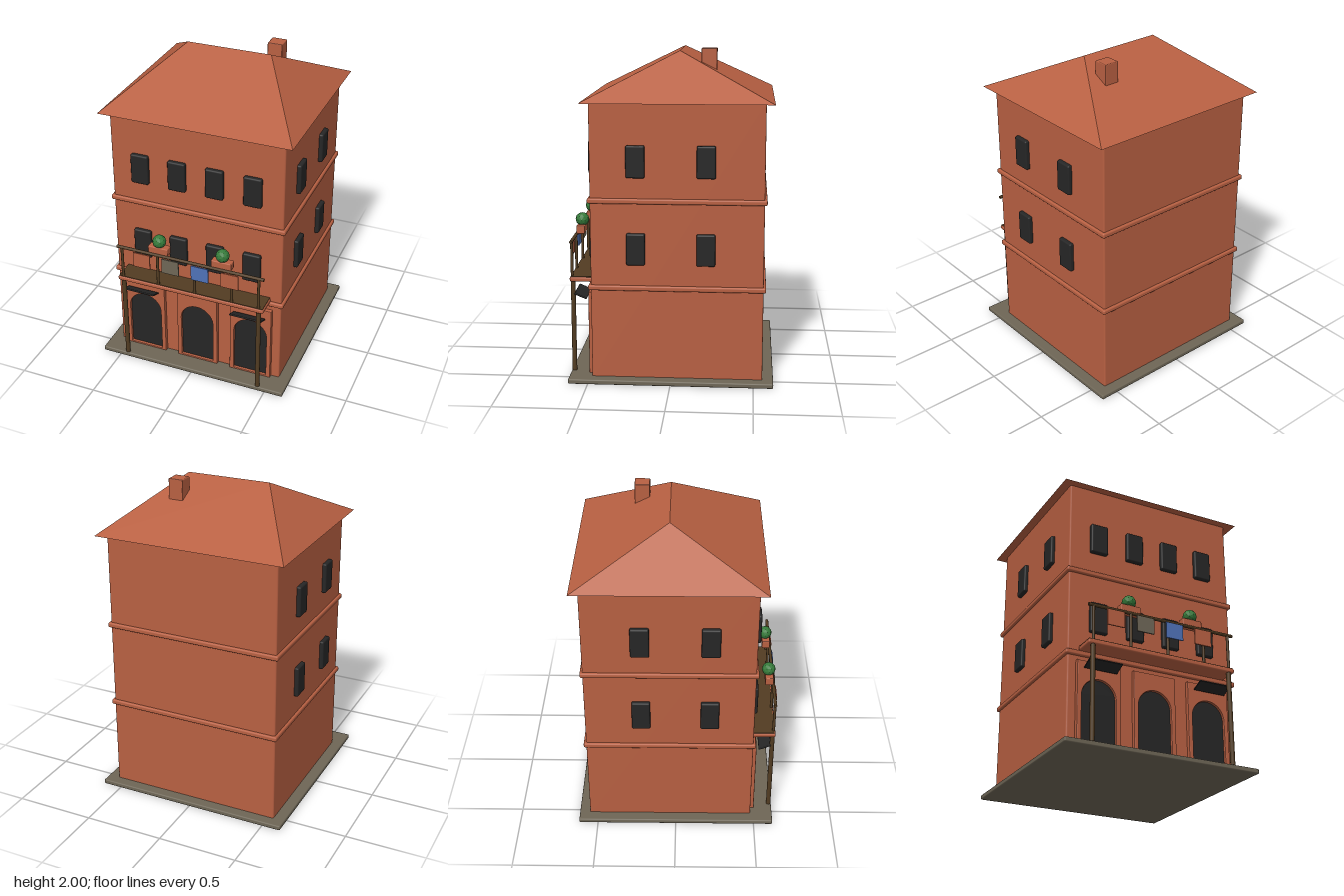
import * as THREE from 'three';
import { RoundedBoxGeometry } from 'three/addons/geometries/RoundedBoxGeometry.js';

const mat = (name, color, extra = {}) => {
  const m = new THREE.MeshStandardMaterial({ color, ...extra });
  m.name = name;
  return m;
};

export function createModel() {
  const terracotta = mat('terracotta', 0xb86042);
  const stone = mat('stone', 0x6e6656);
  const wood = mat('darkWood', 0x523c22);
  const dark = mat('darkGlass', 0x262626);
  const blue = mat('blueCloth', 0x4f72b8);
  const green = mat('leaves', 0x357a3a, { flatShading: true });

  const model = new THREE.Group();
  model.name = 'townhouse';

  const add = (name, geometry, material, x = 0, y = 0, z = 0) => {
    const mesh = new THREE.Mesh(geometry, material);
    mesh.name = name;
    mesh.position.set(x, y, z);
    model.add(mesh);
    return mesh;
  };
  // Softly rounded box given its size and centre
  const block = (name, material, [w, h, d], [x, y, z], r = 0.006) =>
    add(name, new RoundedBoxGeometry(w, h, d, 2, r), material, x, y, z);
  const pole = (name, r, length, x, y, z) =>
    add(name, new THREE.CylinderGeometry(r, r, length, 12), wood, x, y, z);

  const midZ = -0.037, frontZ = 0.48;

  // Plinth, walls and string courses
  block('plinth', stone, [1.24, 0.03, 1.24], [0, 0.015, 0], 0.008);
  block('walls', terracotta, [1.1, 1.69, 1.034], [0, 0.865, midZ], 0.01);
  for (const y of [0.591, 1.121])
    block('stringCourse', terracotta, [1.13, 0.032, 1.064], [0, y, midZ], 0.01);

  // Hipped roof: a box whose top is drawn in to a ridge
  const roof = new THREE.BoxGeometry(1.21, 0.285, 1.136);
  const p = roof.attributes.position;
  for (let i = 0; i < p.count; i++)
    if (p.getY(i) > 0) p.setXYZ(i, Math.sign(p.getX(i)) * 0.267, p.getY(i), 0);
  roof.computeVertexNormals();
  add('roof', roof, terracotta, 0, 1.8425, midZ);
  block('chimney', terracotta, [0.093, 0.22, 0.093], [0.242, 1.89, -0.213], 0.005);

  // Windows on the front and both sides of the upper floors
  for (const y of [0.832, 1.358]) {
    for (const x of [-0.36, -0.12, 0.12, 0.36])
      block('frontWindow', dark, [0.112, 0.192, 0.045], [x, y, 0.483], 0.01);
    for (const side of [-1, 1])
      for (const z of [0.207, -0.21])
        block('sideWindow', dark, [0.045, 0.192, 0.112], [side * 0.553, y, z], 0.01);
  }

  // Arched outline used for the doors and their openings
  const arch = (Type, r) => {
    const s = new Type();
    s.moveTo(-r, 0.03);
    s.lineTo(r, 0.03);
    s.lineTo(r, 0.333);
    s.absarc(0, 0.333, r, 0, Math.PI, false);
    s.lineTo(-r, 0.03);
    return s;
  };
  const surround = new THREE.Shape();
  surround.moveTo(-0.132, 0.032);
  surround.lineTo(0.132, 0.032);
  surround.lineTo(0.132, 0.539);
  surround.lineTo(-0.132, 0.539);
  surround.closePath();
  const opening = arch(THREE.Path, 0.112);
  opening.curves[0].v1.y = 0.033;
  surround.holes.push(arch(THREE.Path, 0.113));
  // Keep the opening just above the lower edge of the panel
  surround.holes[0] = (() => {
    const h = new THREE.Path();
    h.moveTo(-0.113, 0.036);
    h.lineTo(0.113, 0.036);
    h.lineTo(0.113, 0.333);
    h.absarc(0, 0.333, 0.113, 0, Math.PI, false);
    h.lineTo(-0.113, 0.036);
    return h;
  })();
  const surroundGeo = new THREE.ExtrudeGeometry(surround, {
    depth: 0.02, bevelThickness: 0.005, bevelSize: 0.005, bevelSegments: 2, curveSegments: 16,
  });
  const doorGeo = new THREE.ShapeGeometry(arch(THREE.Shape, 0.113), 16);
  for (const x of [-0.36, 0, 0.36]) {
    add('doorSurround', surroundGeo, terracotta, x, 0, frontZ);
    add('archedDoor', doorGeo, dark, x, 0, frontZ + 0.008);
  }

  // Tilted canopies over the outer doors
  for (const x of [-0.36, 0.36])
    block('canopy', dark, [0.21, 0.01, 0.082], [x, 0.508, 0.558], 0.004).rotation.x = -0.4;

  // Balcony with its deck, supports and railing
  block('balconySlab', terracotta, [0.966, 0.03, 0.14], [0, 0.618, 0.55], 0.01);
  add('balconyDeck', new THREE.BoxGeometry(0.955, 0.006, 0.13), wood, 0, 0.633, 0.548);
  for (const x of [-0.45, 0.45]) pole('balconyPost', 0.0145, 0.575, x, 0.317, 0.603);
  for (const x of [-0.45, -0.21, 0.034, 0.277, 0.45]) pole('baluster', 0.009, 0.215, x, 0.742, 0.608);
  pole('handrail', 0.01, 0.966, 0, 0.849, 0.608).rotation.z = Math.PI / 2;

  // Cloths hung from the handrail
  [[-0.312, terracotta], [-0.12, stone], [0.074, blue], [0.268, terracotta]].forEach(([x, m]) =>
    add('hangingCloth', new THREE.BoxGeometry(0.112, 0.1, 0.008), m, x, 0.79, 0.62));

  // Planters with round bushes
  for (const x of [-0.207, 0.207]) {
    block('planter', terracotta, [0.13, 0.052, 0.052], [x, 0.877, 0.582], 0.006);
    add('bush', new THREE.IcosahedronGeometry(0.043, 1), green, x, 0.933, 0.578);
  }
  return model;
}
